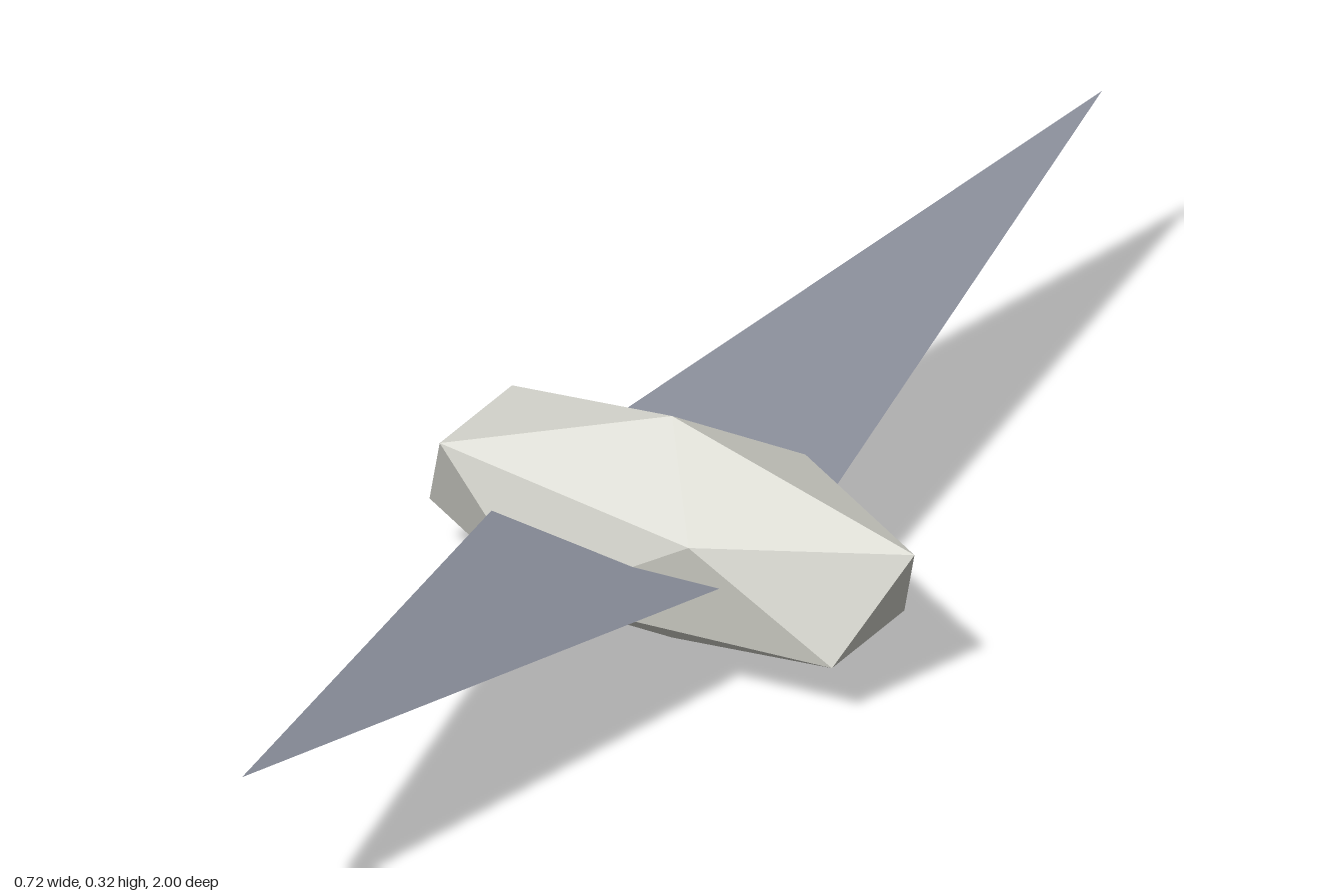
import * as THREE from 'three';

export function createModel() {
  const model = new THREE.Group();
  model.name = 'wingedCrystal';

  const hullMaterial = new THREE.MeshStandardMaterial({ color: 0xd8d8d0, flatShading: true });
  hullMaterial.name = 'pale grey hull';
  const wingMaterial = new THREE.MeshStandardMaterial({ color: 0x8a8e9a, flatShading: true, side: THREE.DoubleSide });
  wingMaterial.name = 'slate wing';

  const midY = 0.16;

  // Hull: icosahedron stood on one point and stretched sideways
  const hullGeometry = new THREE.IcosahedronGeometry(midY, 0);
  hullGeometry.rotateZ(-Math.atan(2 / (1 + Math.sqrt(5))));
  hullGeometry.scale(2.5, 1, 1);
  const hull = new THREE.Mesh(hullGeometry, hullMaterial);
  hull.name = 'hull';
  hull.position.y = midY;
  model.add(hull);

  // Wings: flat triangles rooted inside the hull, rising to a tip at each end
  for (const [name, side] of [['frontWing', 1], ['backWing', -1]]) {
    const left = [0.166, midY, 0];
    const right = [-0.222, midY, 0];
    const tip = [0, 0.294, side];
    const corners = side > 0 ? [right, tip, left] : [left, tip, right];
    const geometry = new THREE.BufferGeometry();
    geometry.setAttribute('position', new THREE.Float32BufferAttribute(corners.flat(), 3));
    geometry.computeVertexNormals();
    const wing = new THREE.Mesh(geometry, wingMaterial);
    wing.name = name;
    model.add(wing);
  }

  return model;
}
